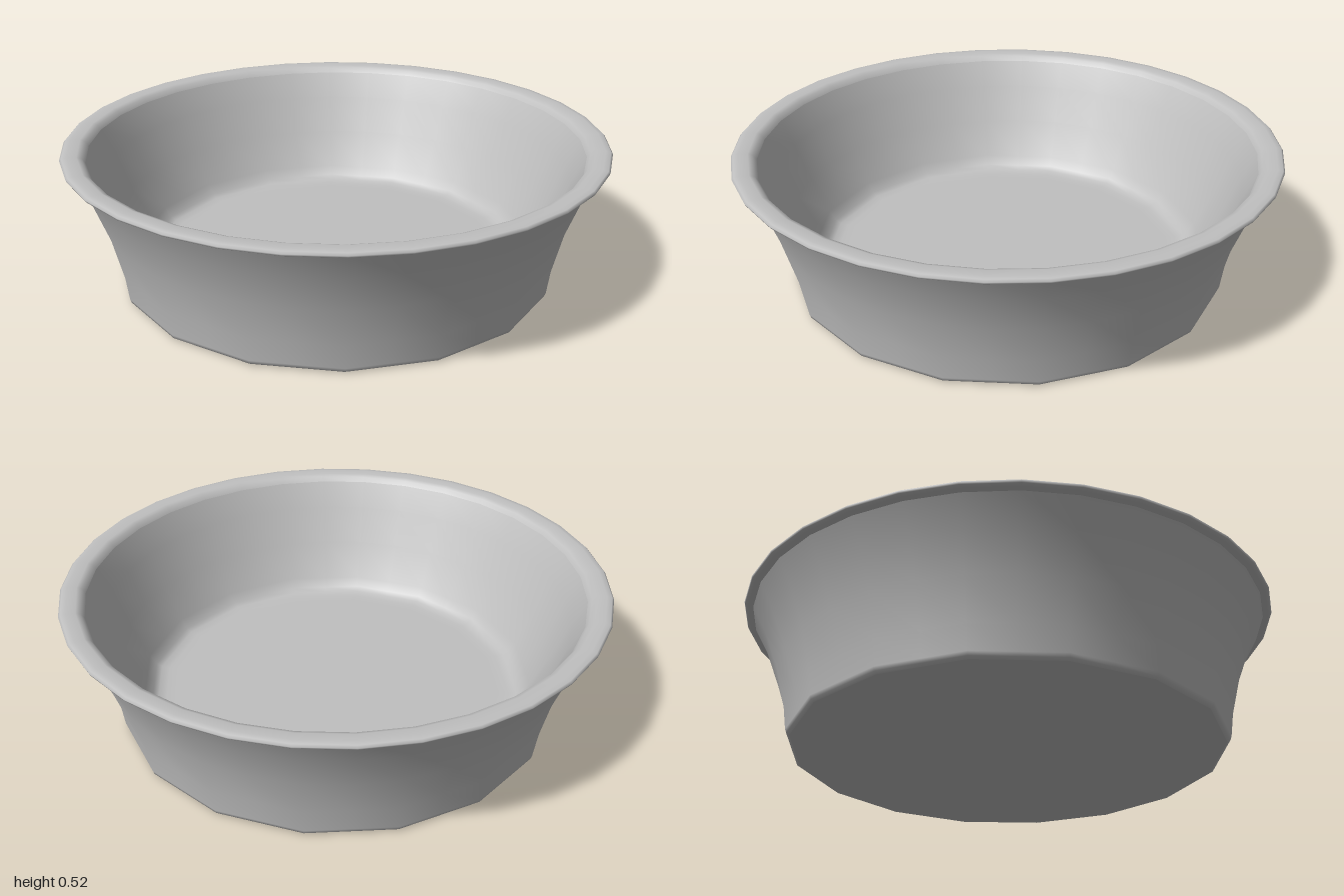
import * as THREE from 'three';

const SEGMENTS = 32;

// Revolves a profile; low rings are flattened to half as many sides.
function turned(points, material, name) {
  const geometry = new THREE.LatheGeometry(points.map(([r, y]) => new THREE.Vector2(r, y)), SEGMENTS);
  const pos = geometry.attributes.position;
  const flatten = Math.cos((Math.PI * 2) / SEGMENTS);
  for (let i = 0; i < pos.count; i++) {
    const column = Math.floor(i / points.length);
    if (column % 2 === 1 && pos.getY(i) < 0.13) {
      pos.setX(i, pos.getX(i) * flatten);
      pos.setZ(i, pos.getZ(i) * flatten);
    }
  }
  const mesh = new THREE.Mesh(geometry, material);
  mesh.name = name;
  return mesh;
}

export function createModel() {
  const group = new THREE.Group();
  group.name = 'bowl';
  const grey = new THREE.MeshStandardMaterial({ color: 0xc0c0c0 });
  grey.name = 'plain grey';

  // Flat underside
  group.add(turned([[0, 0], [0.78, 0], [0.797, 0.001]], grey, 'underside'));

  // Flared outer wall
  group.add(turned([
    [0.797, 0.001], [0.808, 0.008], [0.813, 0.022], [0.825, 0.11],
    [0.862, 0.26], [0.915, 0.4], [0.967, 0.497],
  ], grey, 'outerWall'));

  // Thin rolled rim
  group.add(turned([
    [0.967, 0.497], [0.985, 0.5], [0.997, 0.506], [1, 0.513], [0.993, 0.52],
    [0.975, 0.522], [0.94, 0.521], [0.922, 0.514], [0.91, 0.497],
  ], grey, 'rim'));

  // Inner wall with a soft fillet into the floor
  group.add(turned([
    [0.91, 0.497], [0.862, 0.4], [0.805, 0.26], [0.735, 0.125],
    [0.71, 0.09], [0.69, 0.077], [0.66, 0.072], [0.62, 0.072], [0, 0.072],
  ], grey, 'innerWallAndFloor'));

  return group;
}
